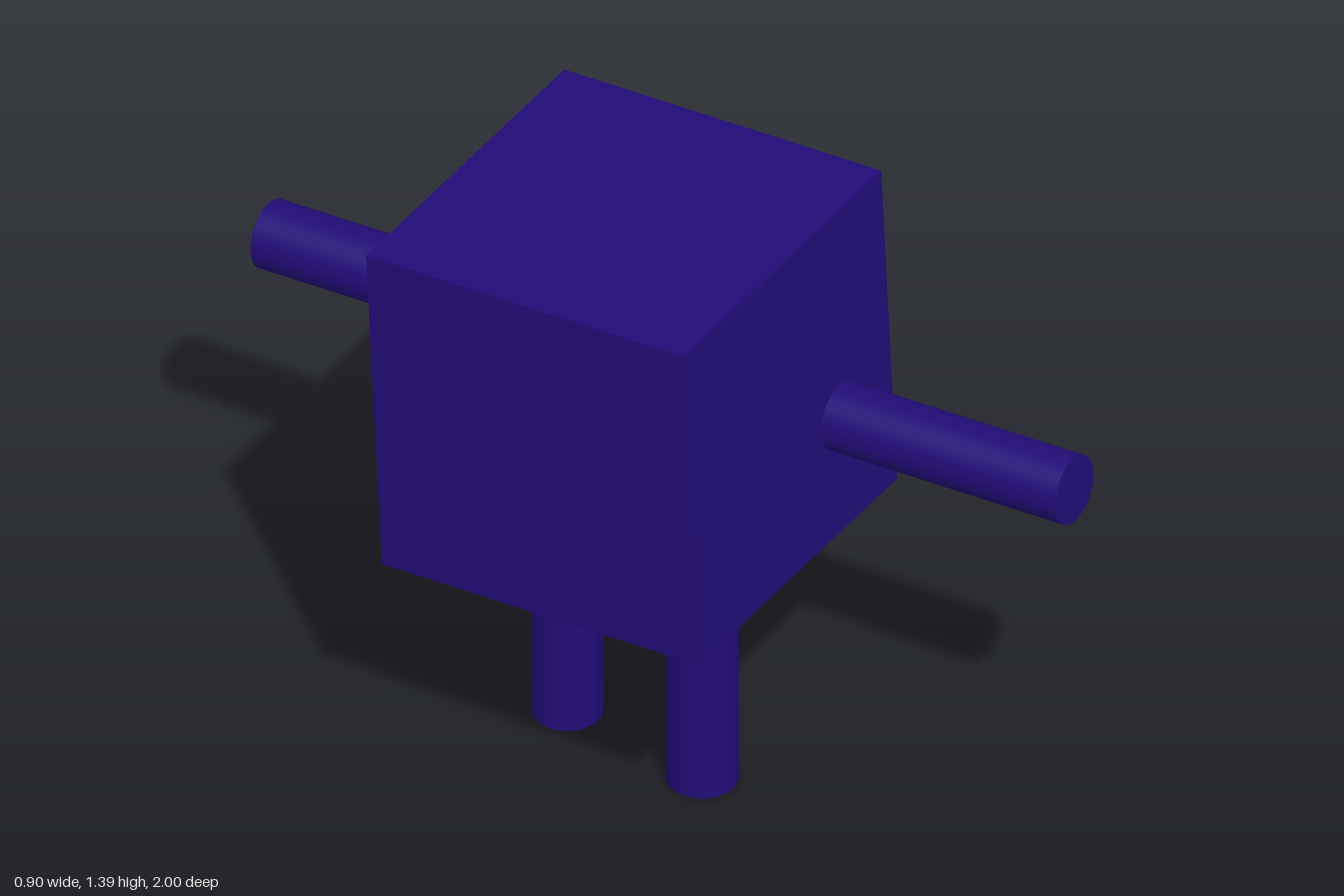
import * as THREE from 'three';

export function createModel() {
  const model = new THREE.Group();
  model.name = 'boxFigure';
  const indigo = new THREE.MeshStandardMaterial({ color: 0x220c78 });
  indigo.name = 'indigo';

  const LIMB_RADIUS = 0.077;
  const add = (parent, name, geometry, x, y, z) => {
    const mesh = new THREE.Mesh(geometry, indigo);
    mesh.name = name;
    mesh.position.set(x, y, z);
    parent.add(mesh);
    return mesh;
  };
  const limb = (length) => new THREE.CylinderGeometry(LIMB_RADIUS, LIMB_RADIUS, length, 32);

  // Upper body: turned slightly and tipped back, carrying the arms with it
  const upperBody = new THREE.Group();
  upperBody.name = 'upperBody';
  upperBody.position.set(-0.002, 0.973, 0.025);
  upperBody.rotation.set(-0.05, 0.147, 0, 'YXZ');
  model.add(upperBody);
  add(upperBody, 'body', new THREE.BoxGeometry(0.788, 0.788, 0.788), 0, 0, 0);

  // Arms: one forward, one back, rooted inside the body
  const armOuter = 1.0, armInner = 0.3;
  for (const [name, side] of [['frontArm', 1], ['backArm', -1]]) {
    const z = side * (armOuter + armInner) / 2 - 0.025;
    add(upperBody, name, limb(armOuter - armInner), 0.192, -0.11, z).rotation.x = Math.PI / 2;
  }

  // Legs: upright, reaching just inside the body
  const legHeight = 0.64;
  for (const [name, z] of [['frontLeg', 0.222], ['backLeg', -0.152]]) {
    add(model, name, limb(legHeight), -0.003, legHeight / 2, z);
  }
  return model;
}
